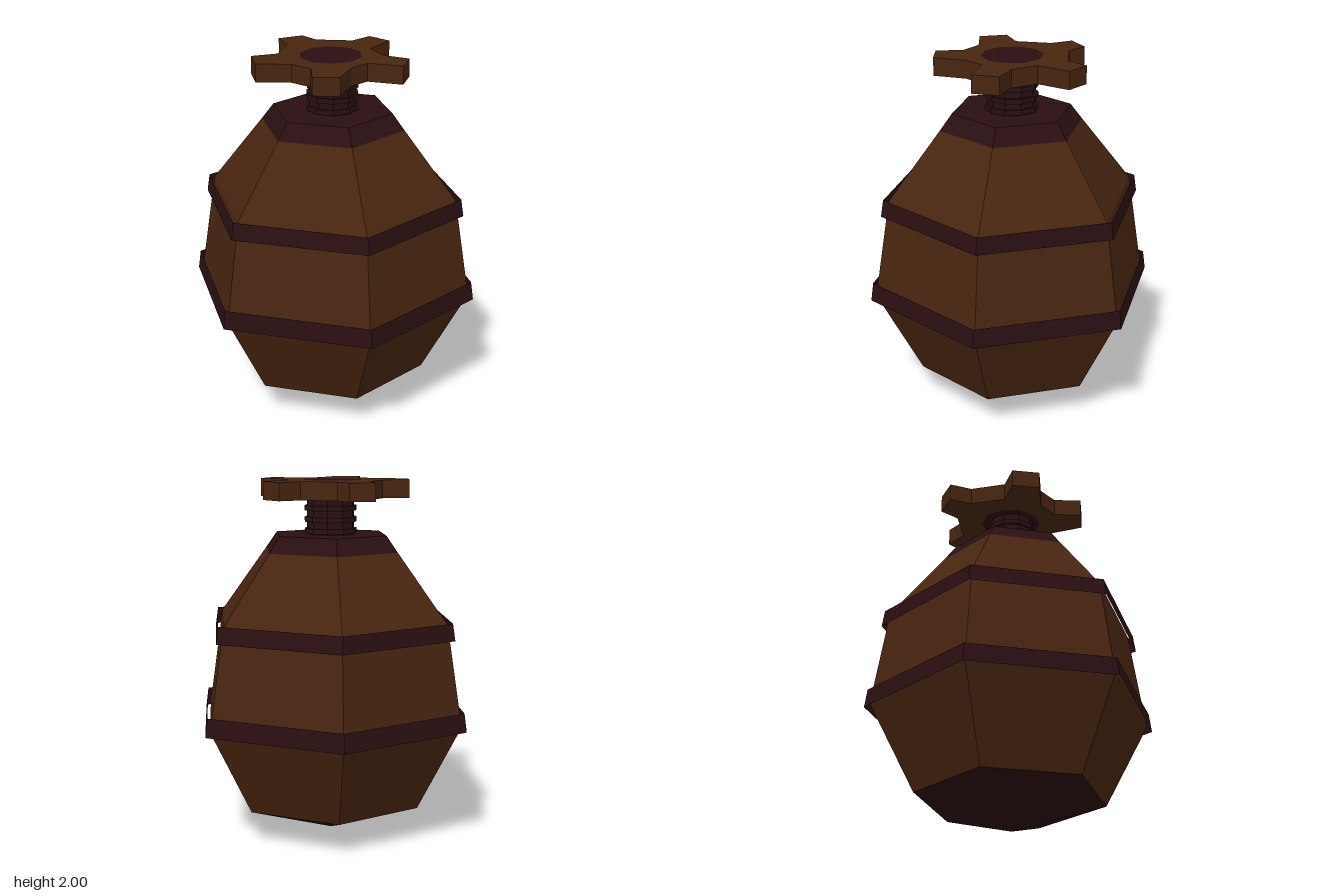
import * as THREE from 'three';

const wood = new THREE.MeshStandardMaterial({ color: 0x482510 });
wood.name = 'brown shell';
const dark = new THREE.MeshStandardMaterial({ color: 0x2a0f12, side: THREE.DoubleSide });
dark.name = 'dark maroon trim';

// Faceted surface turned from a [radius, height] profile, with a corner on +x
function turned(name, profile, sides, material) {
  const points = profile.map(([r, y]) => new THREE.Vector2(r, y));
  const geometry = new THREE.LatheGeometry(points, sides, Math.PI / 2).toNonIndexed();
  geometry.computeVertexNormals();
  const mesh = new THREE.Mesh(geometry, material);
  mesh.name = name;
  return mesh;
}

export function createModel() {
  const model = new THREE.Group();
  model.name = 'hexagonalFlask';

  // Six-sided body with a pointed base and a dark collar
  model.add(
    turned('base', [[0, 0], [0.535, 0.18]], 6, dark),
    turned('body', [[0.535, 0.18], [0.79, 0.67], [0.7, 1.23], [0.405, 1.61]], 6, wood),
    turned('collar', [[0.405, 1.61], [0.337, 1.7], [0, 1.7]], 6, dark)
  );

  // Open hoops standing clear of the body
  model.add(
    turned('lowerBand', [[0.82, 0.645], [0.805, 0.75]], 6, dark),
    turned('upperBand', [[0.745, 1.145], [0.73, 1.24]], 6, dark)
  );

  // Threaded neck: a ribbed profile
  const neck = [[0.133, 1.69]];
  for (let i = 0; i < 3; i++) {
    const y = 1.705 + i * 0.063;
    neck.push([0.133, y], [0.146, y], [0.146, y + 0.028], [0.133, y + 0.028]);
  }
  neck.push([0.133, 1.91]);
  model.add(turned('threadedNeck', neck, 10, dark));

  // Five-toothed cap, slightly uneven, as [x, z] corners
  const outline = [
    [0.10, -0.43], [0.23, -0.365], [0.165, -0.18], [0.27, -0.066],
    [0.415, -0.04], [0.415, 0.11], [0.22, 0.105], [0.16, 0.21],
    [0.15, 0.395], [0.01, 0.425], [-0.04, 0.28], [-0.16, 0.23],
    [-0.345, 0.275], [-0.415, 0.135], [-0.29, 0.05], [-0.3, -0.15],
    [-0.38, -0.25], [-0.27, -0.345], [-0.17, -0.28], [0.03, -0.315]
  ];
  const shape = new THREE.Shape(outline.map(([x, z]) => new THREE.Vector2(x, -z)));
  const hubX = -0.01, hubR = 0.172, hubSides = 10;
  const hole = [];
  for (let i = 0; i < hubSides; i++) {
    const a = (i / hubSides) * Math.PI * 2;
    hole.push(new THREE.Vector2(hubX + hubR * Math.cos(a), hubR * Math.sin(a)));
  }
  shape.holes.push(new THREE.Path(hole));
  const capGeometry = new THREE.ExtrudeGeometry(shape, { depth: 0.1, bevelEnabled: false });
  capGeometry.rotateX(-Math.PI / 2);
  const cap = new THREE.Mesh(capGeometry, wood);
  cap.name = 'gearCap';
  cap.position.y = 1.9;

  // Dark hub filling the middle of the cap
  const hub = turned('capHub', [[0, 1.9], [hubR, 1.9], [hubR, 2], [0, 2]], hubSides, dark);
  hub.position.x = hubX;
  model.add(cap, hub);

  return model;
}
